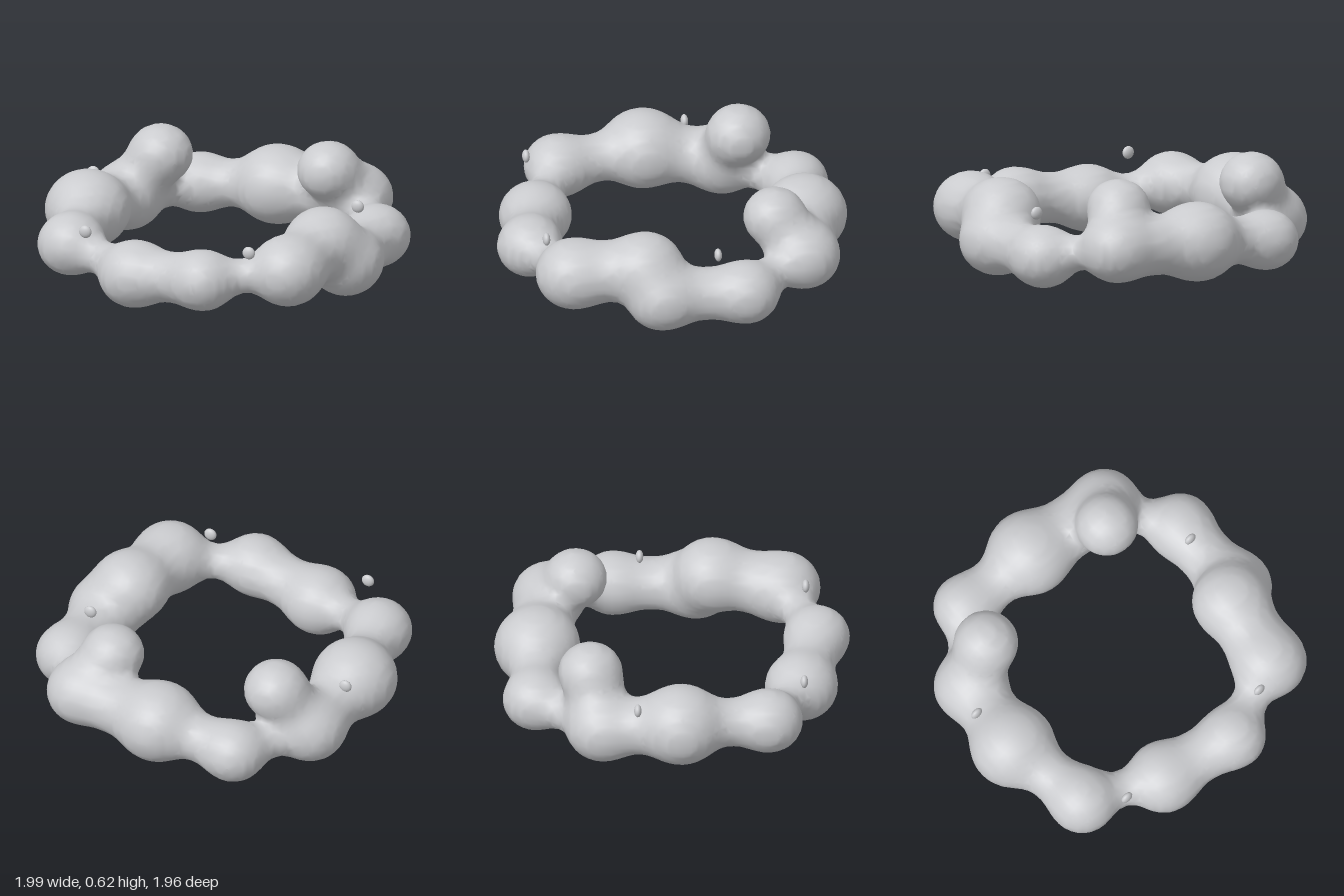
import * as THREE from 'three';

// Lobes around the ring, in order: x, y, z, radius, radius of the neck to the next lobe
const ring = [
  [-0.25, 0.19, 0.705, 0.2, 0.15], [0.18, 0.235, 0.80, 0.175, 0.1],
  [0.615, 0.28, 0.62, 0.202, 0.18], [0.69, 0.32, 0.235, 0.2, 0.185],
  [0.79, 0.2, 0.15, 0.193, 0.155], [0.81, 0.195, -0.31, 0.18, 0.1],
  [0.57, 0.27, -0.67, 0.185, 0.175], [0.08, 0.26, -0.745, 0.237, 0.14],
  [-0.38, 0.21, -0.765, 0.176, 0.11], [-0.68, 0.22, -0.40, 0.197, 0.165],
  [-0.76, 0.28, 0.03, 0.236, 0.14], [-0.685, 0.25, 0.515, 0.186, 0.1],
];
// Raised lobes: base lobe index, then x, y, z, radius, stem radius
const horns = [[6, 0.455, 0.46, -0.525, 0.158, 0.155], [9, -0.505, 0.465, -0.465, 0.165, 0.155]];
const SQUASH = 1.08; // lobes are slightly flatter than they are wide
const BLEND = 0.07;

const blobs = ring.map(([x, y, z, r]) => ({ p: new THREE.Vector3(x, y, z), r }));
const links = blobs.map((b, i) => [b, blobs[(i + 1) % blobs.length], ring[i][4]]);
for (const [base, x, y, z, r, stem] of horns) {
  const tip = { p: new THREE.Vector3(x, y, z), r };
  links.push([blobs[base], tip, stem]);
  blobs.push(tip);
}

const smoothMin = (a, b) => {
  const h = Math.max(BLEND - Math.abs(a - b), 0) / BLEND;
  return Math.min(a, b) - h * h * BLEND * 0.25;
};

// Distance to the blended lobes and the necks between them
const ab = new THREE.Vector3(), ap = new THREE.Vector3();
function distance(p) {
  let d = 10;
  for (const b of blobs) {
    ap.subVectors(p, b.p).y *= SQUASH;
    d = smoothMin(d, ap.length() - b.r);
  }
  for (const [a, b, radius] of links) {
    ab.subVectors(b.p, a.p).y *= SQUASH;
    ap.subVectors(p, a.p).y *= SQUASH;
    const t = THREE.MathUtils.clamp(ap.dot(ab) / ab.lengthSq(), 0, 1);
    d = smoothMin(d, ap.addScaledVector(ab, -t).length() - radius);
  }
  return d;
}

// Skin the distance field: one vertex per crossed cell, one quad per crossed edge
function skin(field, min, size, step) {
  const n = size.map((s) => Math.ceil(s / step) + 1);
  const stride = [1, n[0], n[0] * n[1]];
  const at = (i, j, k) => new THREE.Vector3(min[0] + i * step, min[1] + j * step, min[2] + k * step);
  const each = (fn) => {
    for (let k = 0; k < n[2]; k++)
      for (let j = 0; j < n[1]; j++)
        for (let i = 0; i < n[0]; i++) fn([i, j, k], i + j * stride[1] + k * stride[2]);
  };
  const value = new Float32Array(n[0] * n[1] * n[2]);
  each((c, id) => { value[id] = field(at(...c)); });

  const cell = new Map(), positions = [], index = [];
  const probe = new THREE.Vector3();
  each((c, id) => {
    if (c.some((v, a) => v >= n[a] - 1)) return;
    const sum = new THREE.Vector3();
    let count = 0;
    for (let m = 0; m < 8; m++) {
      const bits = [m & 1, (m >> 1) & 1, (m >> 2) & 1];
      const from = id + bits[0] + bits[1] * stride[1] + bits[2] * stride[2];
      for (let a = 0; a < 3; a++) {
        if (bits[a]) continue;
        const v0 = value[from], v1 = value[from + stride[a]];
        if ((v0 < 0) === (v1 < 0)) continue;
        const q = c.map((v, e) => v + bits[e]);
        q[a] += v0 / (v0 - v1);
        sum.add(at(...q));
        count++;
      }
    }
    if (!count) return;
    sum.divideScalar(count);
    // Pull the vertex onto the surface
    const d = field(sum), e = 0.002;
    const g = [0, 1, 2].map((a) => {
      probe.copy(sum).setComponent(a, sum.getComponent(a) + e);
      return (field(probe) - d) / e;
    });
    sum.addScaledVector(new THREE.Vector3(...g).normalize(), -d);
    cell.set(id, positions.length / 3);
    positions.push(sum.x, sum.y, sum.z);
  });
  each((c, id) => {
    for (let a = 0; a < 3; a++) {
      if (c[a] >= n[a] - 1) continue;
      const inside = value[id] < 0;
      if (inside === value[id + stride[a]] < 0) continue;
      const b = stride[(a + 1) % 3], s = stride[(a + 2) % 3];
      const q = [id - b - s, id - s, id, id - b].map((v) => cell.get(v));
      if (!inside) q.reverse();
      index.push(q[0], q[1], q[2], q[0], q[2], q[3]);
    }
  });
  const geometry = new THREE.BufferGeometry();
  geometry.setAttribute('position', new THREE.Float32BufferAttribute(positions, 3));
  geometry.setIndex(index);
  geometry.computeVertexNormals();
  return geometry;
}

export function createModel() {
  const group = new THREE.Group();
  const grey = new THREE.MeshStandardMaterial({ color: 0xcacbce });
  grey.name = 'grey';

  // Lumpy ring body
  const body = new THREE.Mesh(skin(distance, [-1.1, -0.1, -1.1], [2.2, 0.85, 2.2], 0.04), grey);
  body.name = 'lumpyRing';
  group.add(body);

  // Small floating beads, flattened front to back
  const bead = new THREE.SphereGeometry(1, 16, 12);
  for (const [x, z] of [[-0.535, 0.715], [0.43, 0.745], [-0.81, -0.21], [0.75, -0.165]]) {
    const mesh = new THREE.Mesh(bead, grey);
    mesh.name = 'bead';
    mesh.position.set(x, 0.405, z);
    mesh.scale.set(0.036, 0.036, 0.021);
    group.add(mesh);
  }
  return group;
}
